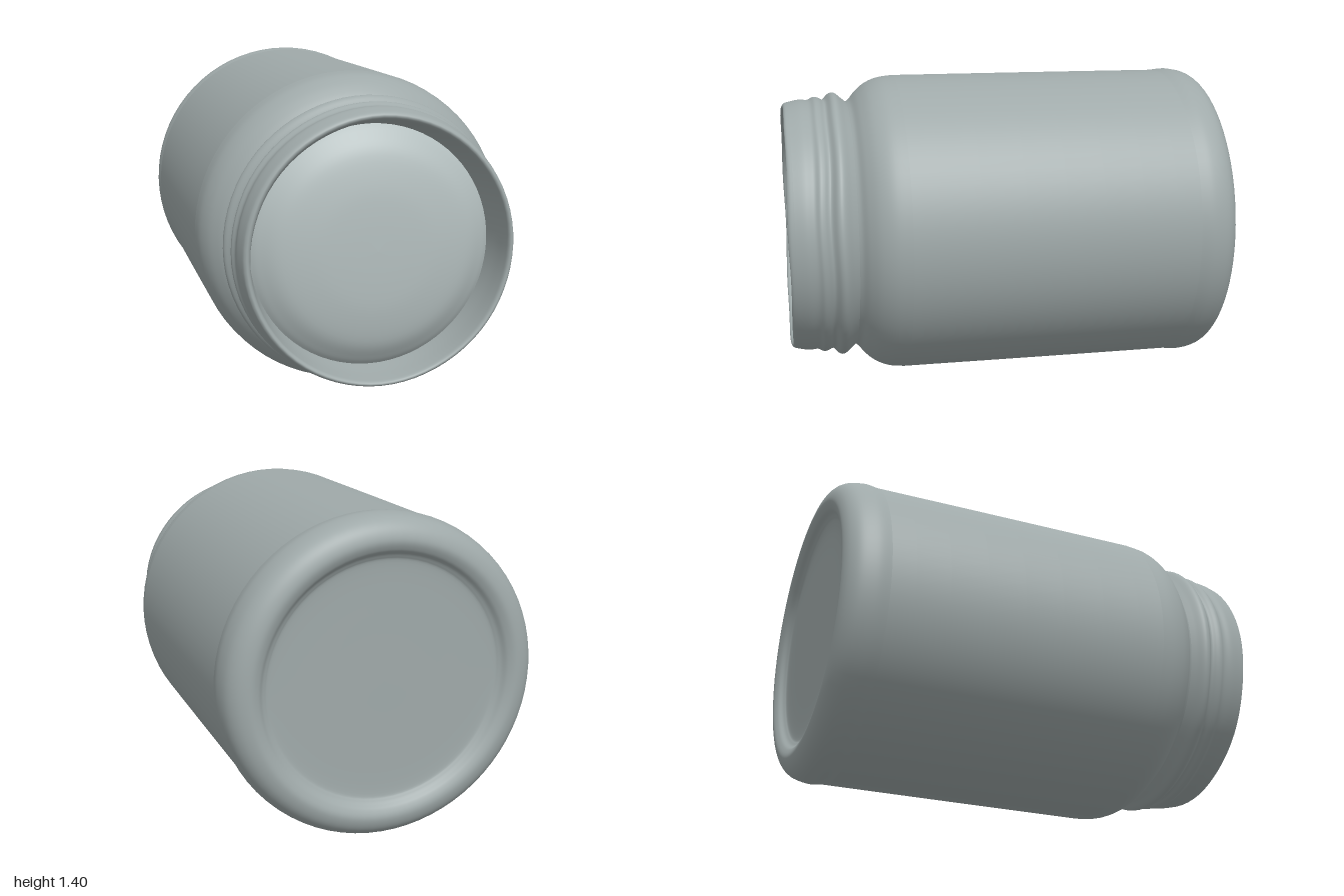
import * as THREE from 'three';

const SEGMENTS = 72;
const AXIS_HEIGHT = 0.705;
// The mouth floor sits slightly off the jar's axis
const OFFSET = { x: 0.012, y: -0.022 };

export function createModel() {
  const jar = new THREE.Group();
  jar.name = 'jar';
  const glass = new THREE.MeshStandardMaterial({ color: 0x9fa9a9, side: THREE.DoubleSide });
  const paleGlass = new THREE.MeshStandardMaterial({ color: 0xb4bfbf, side: THREE.DoubleSide });

  // Revolves a smoothed [radius, z] profile around the jar's lying axis.
  // wobble: hand-made unevenness; drift: off-axis share at the profile's start and end
  const revolve = (name, profile, samples, { wobble = 0, drift = [0, 0], material = glass } = {}) => {
    const curve = new THREE.SplineCurve(profile.map(([r, z]) => new THREE.Vector2(r, z)));
    const points = curve.getPoints(samples);
    points.forEach((p) => { p.x = Math.max(p.x, 0); });
    const geometry = new THREE.LatheGeometry(points, SEGMENTS);
    geometry.rotateX(Math.PI / 2);

    const pos = geometry.attributes.position;
    for (let i = 0; i < pos.count; i++) {
      const t = (i % points.length) / (points.length - 1);
      const a = Math.atan2(pos.getY(i), pos.getX(i));
      const wave = wobble * Math.sin(Math.PI * t) * (Math.sin(3 * a + 1) + 0.6 * Math.sin(7 * a));
      const share = THREE.MathUtils.lerp(drift[0], drift[1], t * t);
      pos.setXYZ(i, pos.getX(i) + OFFSET.x * share, pos.getY(i) + OFFSET.y * share, pos.getZ(i) + wave);
    }
    const mesh = new THREE.Mesh(geometry, material);
    mesh.name = name;
    mesh.position.y = AXIS_HEIGHT;
    jar.add(mesh);
  };

  // Recessed base with its rounded foot ring
  revolve('base', [
    [0, -0.95], [0.25, -0.95], [0.48, -0.952], [0.53, -0.963], [0.56, -0.988],
    [0.6, -1], [0.65, -0.982], [0.685, -0.94], [0.7, -0.87], [0.694, -0.81],
  ], 54);

  // Straight wall
  revolve('body', [[0.694, -0.81], [0.695, -0.2], [0.695, 0.48]], 8);

  // Shoulder narrowing to the neck
  revolve('shoulder', [
    [0.695, 0.48], [0.686, 0.55], [0.66, 0.61], [0.622, 0.655], [0.588, 0.683], [0.575, 0.7],
  ], 24);

  // Neck with a thick bead and a finer thread ridge
  revolve('threadedNeck', [
    [0.575, 0.7], [0.592, 0.722], [0.617, 0.755], [0.615, 0.78], [0.588, 0.808],
    [0.598, 0.835], [0.6, 0.855], [0.588, 0.88], [0.59, 0.92], [0.58, 0.97],
  ], 48, { wobble: 0.005 });

  // Rolled lip and the tapering inside of the mouth
  revolve('lip', [
    [0.58, 0.97], [0.574, 0.988], [0.562, 0.996], [0.55, 0.985], [0.545, 0.95],
    [0.537, 0.87], [0.525, 0.785],
  ], 32, { wobble: 0.004, drift: [0, 1] });

  // Domed surface closing the mouth
  revolve('mouthFloor', [
    [0.525, 0.785], [0.49, 0.812], [0.41, 0.855], [0.28, 0.882], [0.15, 0.892], [0, 0.895],
  ], 24, { drift: [1, 1], material: paleGlass });

  return jar;
}
